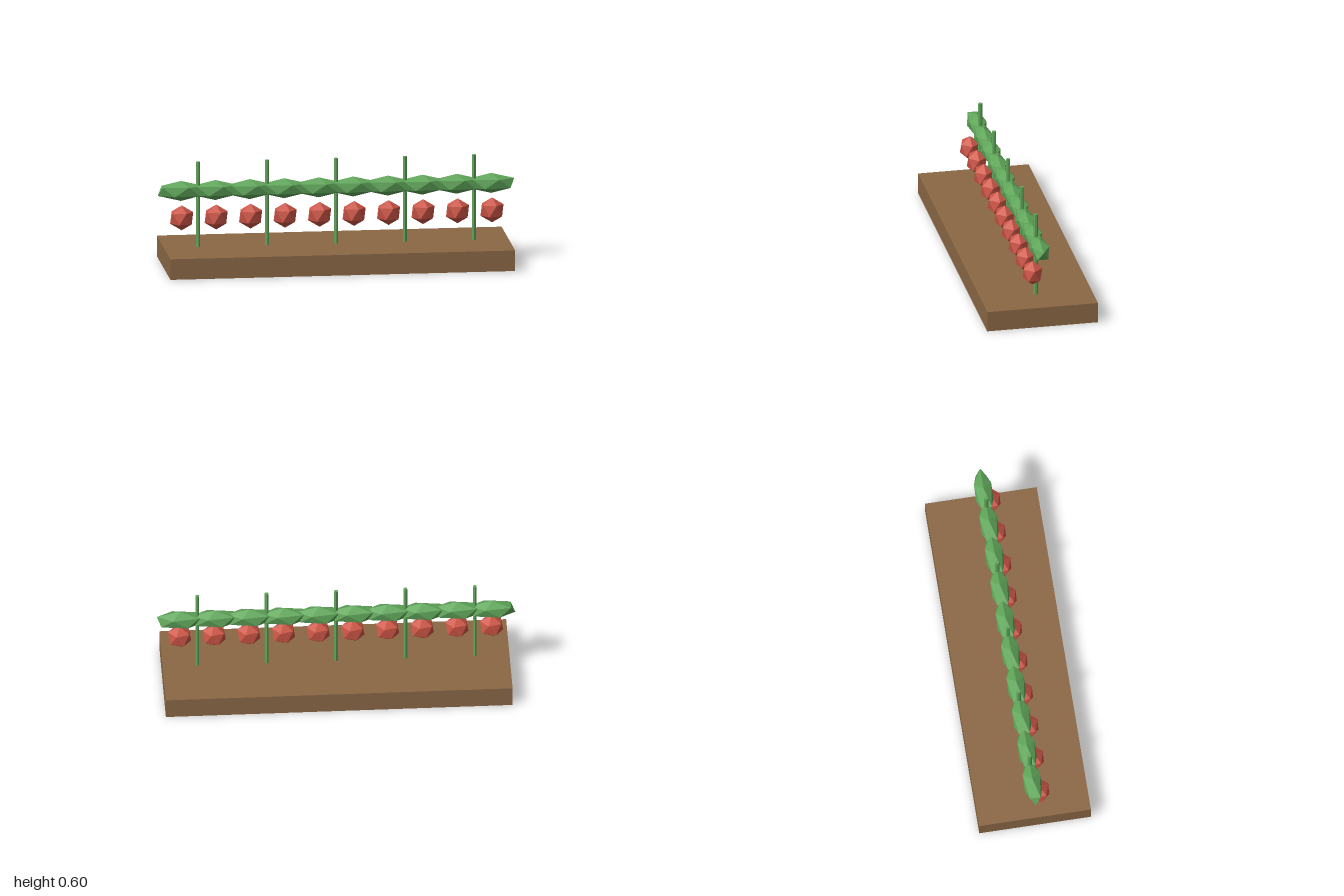
import * as THREE from 'three';
import { ConvexGeometry } from 'three/addons/geometries/ConvexGeometry.js';

// Icosahedron of radius 1 standing on a vertex: two poles and two rings of five
function icosahedron() {
  const points = [new THREE.Vector3(0, 1, 0), new THREE.Vector3(0, -1, 0)];
  const ring = 2 / Math.sqrt(5), height = 1 / Math.sqrt(5);
  for (let i = 0; i < 5; i++) {
    const a = (i * Math.PI * 2) / 5;
    const x = ring * Math.cos(a), z = ring * Math.sin(a);
    points.push(new THREE.Vector3(x, height, z), new THREE.Vector3(-x, -height, z));
  }
  return new ConvexGeometry(points);
}

export function createModel() {
  const model = new THREE.Group();
  model.name = 'tomatoTrellis';

  const material = (name, color) => {
    const m = new THREE.MeshStandardMaterial({ color, flatShading: true });
    m.name = name;
    return m;
  };
  const soil = material('soilBrown', 0x8b6845);
  const green = material('plantGreen', 0x60a65a);
  const red = material('tomatoRed', 0xcd5546);

  const add = (name, geometry, mat, x, y, z) => {
    const mesh = new THREE.Mesh(geometry, mat);
    mesh.name = name;
    mesh.position.set(x, y, z);
    model.add(mesh);
    return mesh;
  };

  const step = 0.1935;
  const bedTop = 0.117;

  // Soil bed
  add('soilBed', new THREE.BoxGeometry(step * 10, bedTop, 0.63), soil, 0, bedTop / 2, 0);

  // Five upright stakes
  const stakeHeight = 0.484;
  const stake = new THREE.CylinderGeometry(0.012, 0.012, stakeHeight, 6);
  for (let i = -2; i <= 2; i++) {
    add('stake', stake, green, i * step * 2, bedTop + stakeHeight / 2, 0);
  }

  // Ten overlapping leaf clumps with a tomato hanging in front of each
  const ico = icosahedron();
  for (let i = 0; i < 10; i++) {
    const x = (i - 4.5) * step;
    add('leafClump', ico, green, x, 0.437, 0).scale.set(0.145, 0.057, 0.057);
    add('tomato', ico, red, x, 0.2915, 0.039).scale.set(0.0725, 0.071, 0.0625);
  }

  return model;
}
